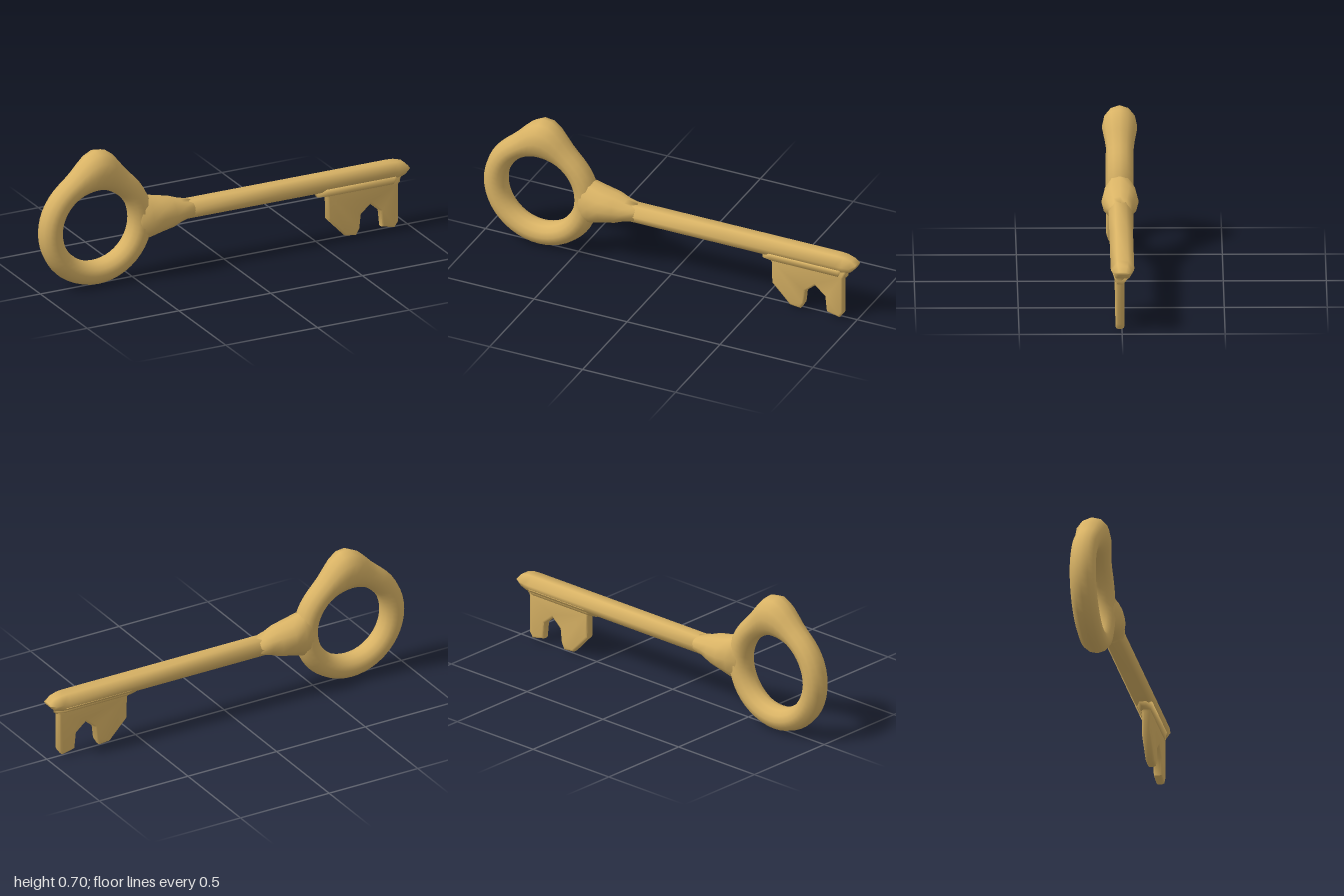
import * as THREE from 'three';
import { toCreasedNormals } from 'three/addons/utils/BufferGeometryUtils.js';

// Smooth skin over a list of cross-sections, each a loop of [x, y, z] points.
function loft(sections, closed = false) {
  const n = sections[0].length, m = sections.length;
  const pos = sections.flat(2), index = [];
  for (let i = 0; i < (closed ? m : m - 1); i++) {
    for (let j = 0; j < n; j++) {
      const a = i * n + j, b = i * n + (j + 1) % n;
      const c = ((i + 1) % m) * n + j, d = ((i + 1) % m) * n + (j + 1) % n;
      index.push(a, b, c, b, d, c);
    }
  }
  if (!closed) {
    const last = (m - 1) * n;
    for (let j = 1; j < n - 1; j++) {
      index.push(0, j + 1, j, last, last + j, last + j + 1);
    }
  }
  const geo = new THREE.BufferGeometry();
  geo.setAttribute('position', new THREE.Float32BufferAttribute(pos, 3));
  geo.setIndex(index);
  geo.computeVertexNormals();
  return geo;
}

const AXIS = 0.312; // height of the shaft and the ring centre

export function createModel() {
  const group = new THREE.Group();
  const brass = new THREE.MeshStandardMaterial({ color: 0xd9b365 });
  brass.name = 'brass';
  const add = (name, geo) => {
    const mesh = new THREE.Mesh(geo, brass);
    mesh.name = name;
    group.add(mesh);
  };

  // Ring handle, swelling into a knob at the top
  const ring = [], steps = 48, sides = 12, inner = 0.184;
  for (let i = 0; i < steps; i++) {
    const deg = (i / steps) * 360, t = THREE.MathUtils.degToRad(deg);
    const off = Math.abs(((deg - 87 + 540) % 360) - 180);
    const bump = Math.exp(-((off / 14) ** 2) / 2);
    const outer = 0.303 + 0.093 * bump;
    const mid = (inner + outer) / 2, half = (outer - inner) / 2;
    const depth = 0.065 + 0.021 * bump;
    const loop = [];
    for (let j = 0; j < sides; j++) {
      const a = (j / sides) * Math.PI * 2;
      const r = mid + half * Math.cos(a);
      loop.push([-0.7 + r * Math.cos(t), AXIS + r * Math.sin(t), -0.003 - depth * Math.sin(a)]);
    }
    ring.push(loop);
  }
  add('ringHandle', loft(ring, true));

  // Collar between ring and shaft: x, half height, half depth
  const collar = [
    [-0.5, 0.11, 0.04], [-0.47, 0.125, 0.066], [-0.42, 0.112, 0.084], [-0.36, 0.092, 0.091],
    [-0.29, 0.078, 0.08], [-0.24, 0.058, 0.066], [-0.18, 0.042, 0.056],
  ].map(([x, hy, hz]) => Array.from({ length: 12 }, (_, j) => {
    const a = (j / 12) * Math.PI * 2;
    return [x, AXIS + hy * Math.cos(a), -0.002 + hz * Math.sin(a)];
  }));
  add('collar', loft(collar));

  // Six-sided shaft with a blunt tip: height offset and z of each corner
  const hex = [[0.041, -0.03], [0.043, 0.024], [0, 0.055], [-0.043, 0.03], [-0.043, -0.035], [0, -0.06]];
  const shaft = [
    [-0.3, 1, 1], [0.3, 1, 1], [0.9, 1, 1], [0.935, 0.95, 0.97], [0.975, 0.7, 0.85], [0.998, 0.15, 0.6],
  ].map(([x, sy, sz]) => hex.map(([y, z]) => [x, AXIS + y * sy, z * sz]));
  add('shaft', loft(shaft));

  // Toothed bit hanging under the shaft
  const outline = [
    [0.5, 0.29], [0.535, 0.262], [0.55, 0.235], [0.553, 0.12], [0.65, 0.018], [0.708, 0.012], [0.727, 0.045],
    [0.735, 0.117], [0.785, 0.16], [0.838, 0.115], [0.847, 0.03], [0.917, 0.014],
    [0.937, 0.043], [0.937, 0.235], [0.96, 0.29],
  ].map(([x, y]) => new THREE.Vector2(x, y));
  const bit = new THREE.ExtrudeGeometry(new THREE.Shape(outline), {
    depth: 0.02, bevelEnabled: true, bevelThickness: 0.012, bevelSize: 0.012,
    bevelOffset: -0.012, bevelSegments: 2,
  });
  bit.translate(0, 0, 0);
  add('toothedBit', toCreasedNormals(bit, 0.9));

  // Sloped fillet easing the shaft into the bit: x, width scale
  const fillet = [[0.5, 0.5], [0.55, 1], [0.91, 1], [0.95, 0.5]].map(([x, s]) => [
    [x, 0.285, -0.045 * s], [x, 0.285, 0.043 * s], [x, 0.245, 0.01 + 0.022 * s], [x, 0.245, 0.01 - 0.024 * s],
  ]);
  add('bitFillet', loft(fillet));

  return group;
}
